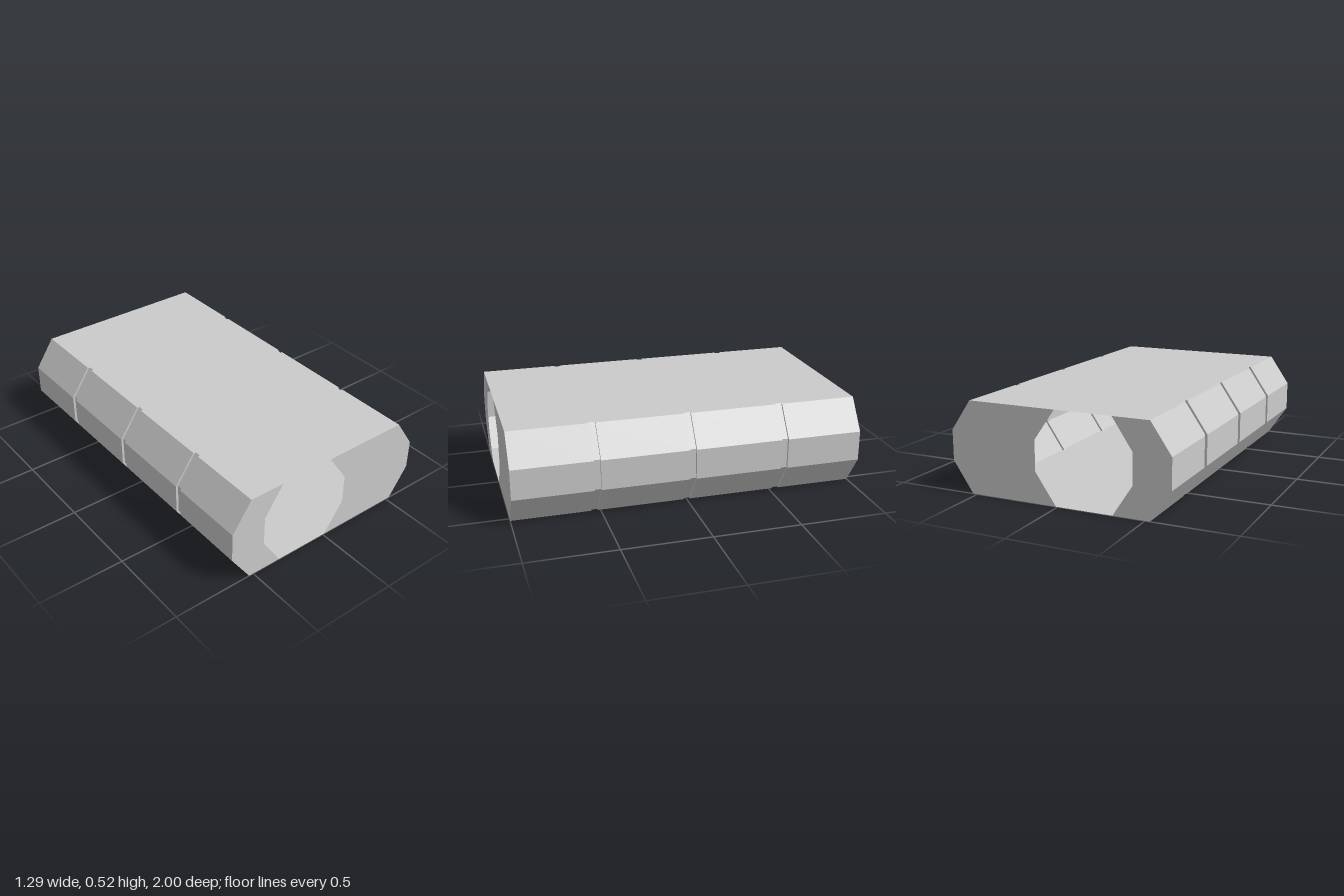
import * as THREE from 'three';

const HEIGHT = 0.52, LENGTH = 2, INSET = 0.014;
// Half outline of the octagonal shell, bottom to top
const SIDE = [[0.527, 0], [0.645, 0.175], [0.645, 0.348], [0.527, HEIGHT]];
// Hollow end opening, bottom to top, for each side
const OPEN_LEFT = [[0.01, 0], [0.13, 0.175], [0.13, 0.348], [0.01, HEIGHT]];
const OPEN_RIGHT = [[-0.318, 0], [-0.433, 0.175], [-0.433, 0.348], [-0.318, HEIGHT]];
const GROOVES = [[-0.56, -0.522], [-0.02, 0.017], [0.515, 0.553]];

// Stations along z as [z, inset], stepping in and out at every groove
const stations = [[-LENGTH / 2, 0]];
for (const [a, b] of GROOVES) stations.push([a, 0], [a, INSET], [b, INSET], [b, 0]);
stations.push([LENGTH / 2, 0]);

const material = new THREE.MeshStandardMaterial({
  color: 0xcccccc, flatShading: true, side: THREE.DoubleSide,
});

function addMesh(group, name, geometry) {
  const mesh = new THREE.Mesh(geometry, material);
  mesh.name = name;
  group.add(mesh);
  return mesh;
}

function shapeFrom(points) {
  return new THREE.ShapeGeometry(new THREE.Shape(points.map(([x, y]) => new THREE.Vector2(x, y))));
}

// Faceted side wall lofted through the stations, with recessed grooves
function sideWall(sign) {
  const profile = sign > 0 ? SIDE : [...SIDE].reverse();
  const positions = [], index = [], n = profile.length;
  for (const [z, inset] of stations)
    for (const [x, y] of profile) positions.push(sign * (x - inset), y, z);
  for (let s = 0; s < stations.length - 1; s++)
    for (let i = 0; i < n - 1; i++) {
      const a = s * n + i, b = a + 1, c = b + n, d = a + n;
      index.push(a, b, c, a, c, d);
    }
  const geometry = new THREE.BufferGeometry();
  geometry.setAttribute('position', new THREE.Float32BufferAttribute(positions, 3));
  geometry.setIndex(index);
  const flat = geometry.toNonIndexed();
  flat.computeVertexNormals();
  return flat;
}

// Flat plate whose long edges are notched where the grooves meet it
function plate() {
  const half = SIDE[0][0];
  const edge = stations.map(([z, inset]) => [half - inset, z]);
  const other = [...edge].reverse().map(([x, z]) => [-x, z]);
  return shapeFrom([...edge, ...other]);
}

export function createModel() {
  const group = new THREE.Group();
  group.name = 'hollowShell';

  addMesh(group, 'leftWall', sideWall(1));
  addMesh(group, 'rightWall', sideWall(-1));

  // Top and bottom plates
  const top = addMesh(group, 'topPlate', plate());
  top.rotation.x = -Math.PI / 2;
  top.position.y = HEIGHT;
  addMesh(group, 'bottomPlate', plate()).rotation.x = Math.PI / 2;

  // Thin end caps, split in two by the off-centre opening
  const leftCap = [...SIDE, ...[...OPEN_LEFT].reverse()];
  const rightCap = [...SIDE.map(([x, y]) => [-x, y]), ...[...OPEN_RIGHT].reverse()];
  for (const [end, z] of [['front', LENGTH / 2], ['back', -LENGTH / 2]])
    for (const [side, outline] of [['Left', leftCap], ['Right', rightCap]]) {
      const geometry = shapeFrom(outline);
      // Back caps are turned to face outward
      if (z < 0) geometry.scale(-1, 1, 1).rotateY(Math.PI).scale(1, 1, -1);
      addMesh(group, `${end}${side}Cap`, geometry).position.z = z;
    }
  return group;
}
